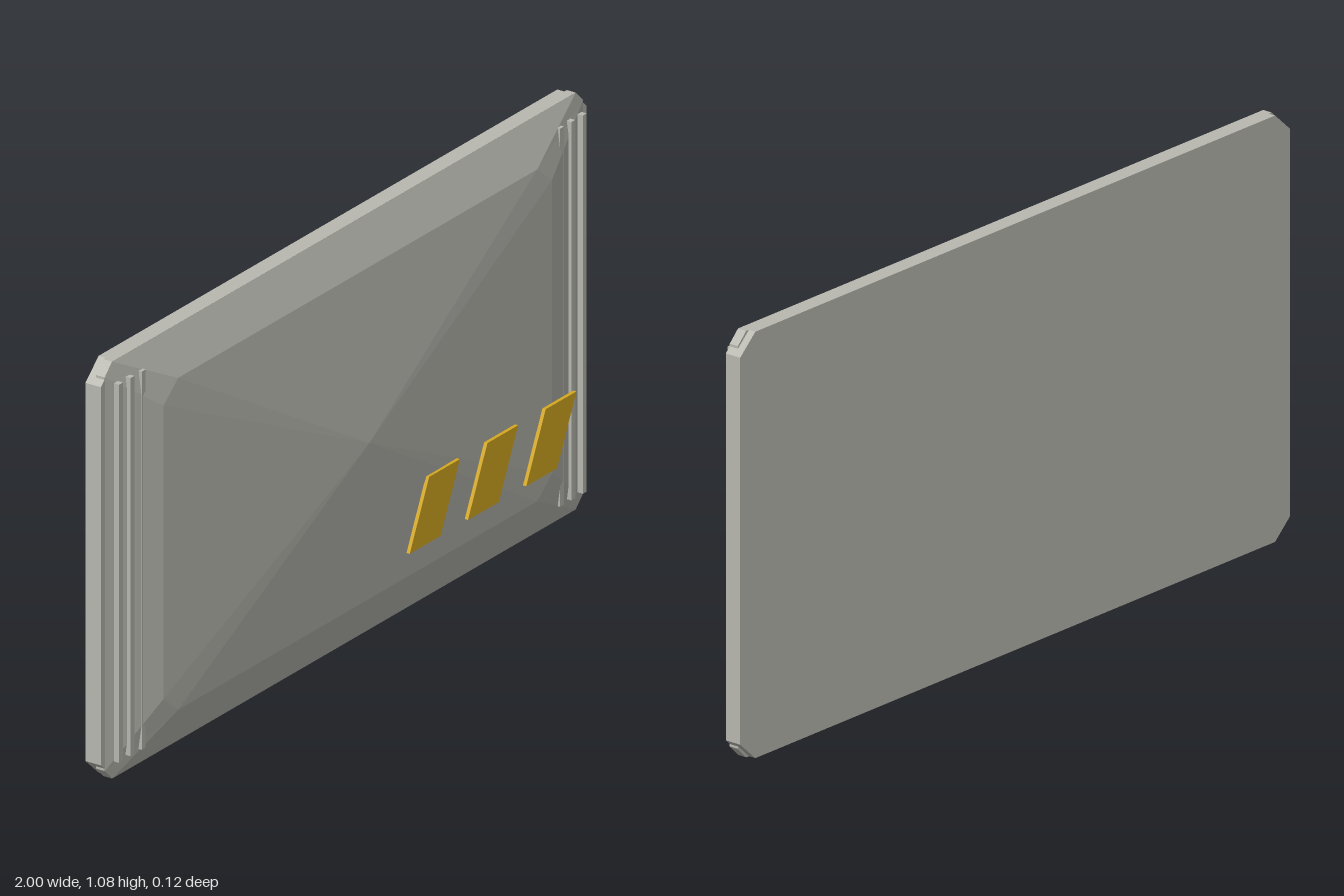
import * as THREE from 'three';

const MID = 0.54; // mid height of the panel

// Eight corners of a rectangle with cut corners, counter-clockwise from the front
function octagon(hx, hy, cx, cy) {
  return [
    [hx, -hy + cy], [hx, hy - cy], [hx - cx, hy], [-hx + cx, hy],
    [-hx, hy - cy], [-hx, -hy + cy], [-hx + cx, -hy], [hx - cx, -hy],
  ].map(([x, y]) => new THREE.Vector2(x, y + MID));
}

function slab(points, z0, z1) {
  const geo = new THREE.ExtrudeGeometry(new THREE.Shape(points), { depth: z1 - z0, bevelEnabled: false });
  return geo.translate(0, 0, z0);
}

// Sloped border rising to a ring, then a shallow pyramid to the centre
function domeGeometry() {
  const outer = octagon(0.985, 0.54, 0.03, 0.03).map(p => [p.x, p.y, -0.014]);
  const inner = octagon(0.8, 0.43, 0.06, 0.05).map(p => [p.x, p.y, 0.026]);
  const apex = [0, MID, 0.06];
  const pos = [];
  for (let i = 0; i < 8; i++) {
    const j = (i + 1) % 8;
    pos.push(...outer[i], ...outer[j], ...inner[j]);
    pos.push(...outer[i], ...inner[j], ...inner[i]);
    pos.push(...inner[i], ...inner[j], ...apex);
  }
  const geo = new THREE.BufferGeometry();
  geo.setAttribute('position', new THREE.Float32BufferAttribute(pos, 3));
  geo.computeVertexNormals();
  return geo;
}

export function createModel() {
  const group = new THREE.Group();
  const grey = new THREE.MeshStandardMaterial({ color: 0xb8b8b0 });
  grey.name = 'warm grey';
  const gold = new THREE.MeshStandardMaterial({ color: 0xd4a820 });
  gold.name = 'gold';

  const add = (name, geo, mat) => {
    const mesh = new THREE.Mesh(geo, mat);
    mesh.name = name;
    group.add(mesh);
  };

  // Flat back plate, with blocks peeking out past its cut corners
  add('backPlate', slab(octagon(1, 0.54, 0.055, 0.05), -0.06, -0.015), grey);
  add('cornerBlocks', slab(octagon(0.985, 0.54, 0.03, 0.03), -0.04, -0.0145), grey);
  add('domedFront', domeGeometry(), grey);

  // Three upright ribs at each end
  for (const side of [-1, 1]) {
    for (const x of [0.955, 0.908, 0.862]) {
      const rib = new THREE.BoxGeometry(0.016, 0.98, 0.015);
      rib.translate(side * x, MID, 0.0045);
      add('rib', rib, grey);
    }
  }

  // Row of slanted badges
  for (let i = 0; i < 3; i++) {
    const x = 0.175 + i * 0.24;
    const outline = [[x, 0.187], [x + 0.127, 0.187], [x + 0.207, 0.357], [x + 0.08, 0.357]];
    add('slantedBadge', slab(outline.map(p => new THREE.Vector2(...p)), 0.044, 0.0535), gold);
  }
  return group;
}
